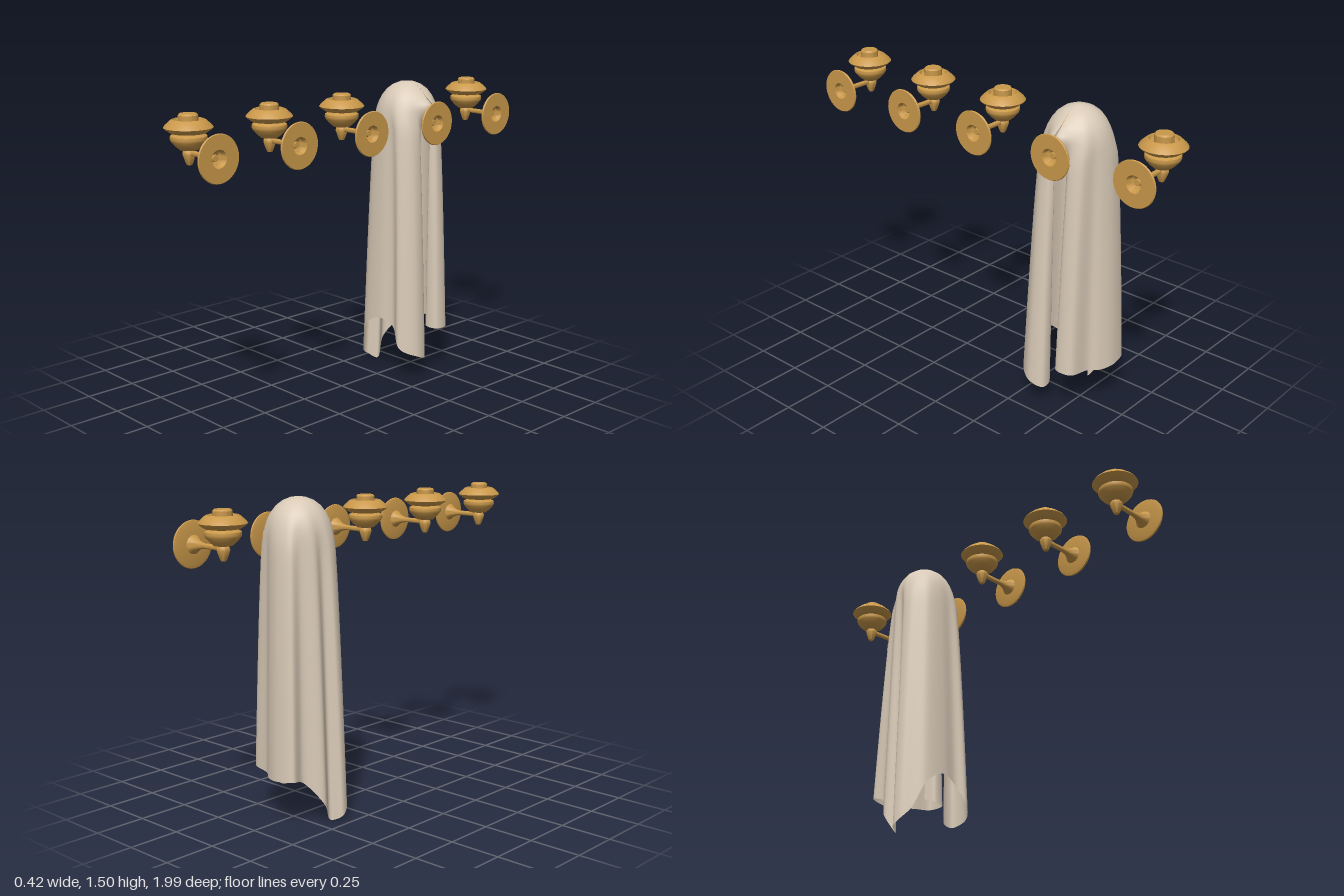
import * as THREE from 'three';
import { mergeVertices, toCreasedNormals } from 'three/addons/utils/BufferGeometryUtils.js';

const brass = new THREE.MeshStandardMaterial({ color: 0xc9984a });
const cloth = new THREE.MeshStandardMaterial({ color: 0xd9cab7, side: THREE.DoubleSide });

// Turned part: profile of [radius, height], bottom to top
function turned(profile, segments = 40) {
  const points = profile.map(([r, y]) => new THREE.Vector2(r, y));
  return toCreasedNormals(new THREE.LatheGeometry(points, segments), 0.6);
}

// Knob with pointed finial, two discs and a cap sitting in a recess
const knobGeometry = turned([
  [0, 1.25], [0.012, 1.252], [0.018, 1.265], [0.029, 1.297], [0.028, 1.308], [0.022, 1.316],
  [0.04, 1.318], [0.06, 1.335], [0.077, 1.355], [0.081, 1.366], [0.079, 1.378], [0.06, 1.388],
  [0.078, 1.391], [0.1, 1.406], [0.107, 1.414], [0.1, 1.424], [0.075, 1.446], [0.067, 1.449],
  [0.06, 1.436], [0.043, 1.433], [0.043, 1.466], [0.037, 1.473], [0, 1.473],
]);

// Thin arm flaring into a round wall plate with a countersunk back
const armGeometry = turned([
  [0, 0], [0.012, 0], [0.012, 0.125], [0.017, 0.15], [0.028, 0.175], [0.042, 0.193],
  [0.09, 0.195], [0.105, 0.199], [0.107, 0.204], [0.104, 0.209], [0.04, 0.209],
  [0.032, 0.188], [0.016, 0.178], [0.014, 0.186], [0, 0.186],
]).rotateZ(-Math.PI / 2);

function createHook() {
  const hook = new THREE.Group();
  hook.name = 'hook';
  const knob = new THREE.Mesh(knobGeometry, brass);
  knob.name = 'knob';
  const arm = new THREE.Mesh(armGeometry, brass);
  arm.name = 'armAndWallPlate';
  arm.position.y = 1.305;
  hook.add(knob, arm);
  return hook;
}

// Towel hem: [x, height, z], from the front edge of the slit round to the back edge
const hem = new THREE.CatmullRomCurve3([
  [0.10, 0.16, 0.08], [0.13, 0.11, 0.035], [0.185, 0.10, 0.035], [0.205, 0.125, 0.11],
  [0.145, 0.17, 0.185], [0.08, 0.27, 0.165], [0, 0.30, 0.18], [-0.10, 0.245, 0.175],
  [-0.165, 0.10, 0.13], [-0.205, 0.045, 0.09], [-0.21, 0.02, 0.055], [-0.165, 0.0, 0.025],
  [-0.19, 0.10, -0.04], [-0.13, 0.21, -0.12], [-0.14, 0.23, -0.19], [-0.05, 0.22, -0.21],
  [0.03, 0.215, -0.185], [0.075, 0.22, -0.15], [0.18, 0.23, -0.125], [0.19, 0.235, -0.045],
  [0.13, 0.24, -0.03], [0.10, 0.26, -0.08],
].map((p) => new THREE.Vector3(...p)), false, 'centripetal');

// Towel: a dome over the knob that drops into a folded sheet, open beside the arm
function towelGeometry() {
  const dome = [[0.001, 1.496], [0.035, 1.492], [0.07, 1.478], [0.1, 1.455], [0.122, 1.425],
    [0.136, 1.395], [0.146, 1.36], [0.152, 1.32]];
  const around = 168, sheetRows = 28, rows = dome.length + sheetRows;
  const pos = [], index = [];
  for (let i = 0; i < rows; i++) {
    const t = Math.max(0, (i - dome.length + 1) / sheetRows);
    const domeT = Math.min(1, i / (dome.length - 1));
    const [r, top] = dome[Math.min(i, dome.length - 1)];
    const blend = t > 0 ? 0.3 + 0.7 * Math.pow(t, 0.5) : 0.3 * domeT ** 4;
    const scale = 0.84 + 0.16 * Math.sqrt(t);
    for (let j = 0; j <= around; j++) {
      const u = j / around, a = u * Math.PI * 2;
      const p = hem.getPoint(u);
      // Shoulder where the cloth lies over the arm
      const off = Math.min(a, Math.PI * 2 - a);
      const bump = 0.05 * Math.exp(-((off / 0.4) ** 2)) * Math.exp(-(((top - 1.38) / 0.035) ** 2));
      pos.push(
        THREE.MathUtils.lerp(Math.cos(a) * (r + bump), p.x * scale, blend),
        THREE.MathUtils.lerp(top, p.y, t),
        THREE.MathUtils.lerp(Math.sin(a) * (r + bump), p.z * scale, blend),
      );
      if (i < rows - 1 && j < around) {
        const k = i * (around + 1) + j, n = k + around + 1;
        index.push(k, k + 1, n, k + 1, n + 1, n);
      }
    }
  }
  const geometry = new THREE.BufferGeometry();
  geometry.setAttribute('position', new THREE.Float32BufferAttribute(pos, 3));
  geometry.setIndex(index);
  const merged = mergeVertices(geometry, 1e-5);
  merged.computeVertexNormals();
  return merged;
}

export function createModel() {
  const model = new THREE.Group();
  model.name = 'towelHooks';
  // Row of five hooks
  const spacing = 0.445;
  for (let i = -2; i <= 2; i++) {
    const hook = createHook();
    hook.position.z = i * spacing;
    model.add(hook);
  }
  // Towel hanging on the second hook from the back
  const towel = new THREE.Mesh(towelGeometry(), cloth);
  towel.name = 'towel';
  towel.position.z = -spacing;
  model.add(towel);
  return model;
}
